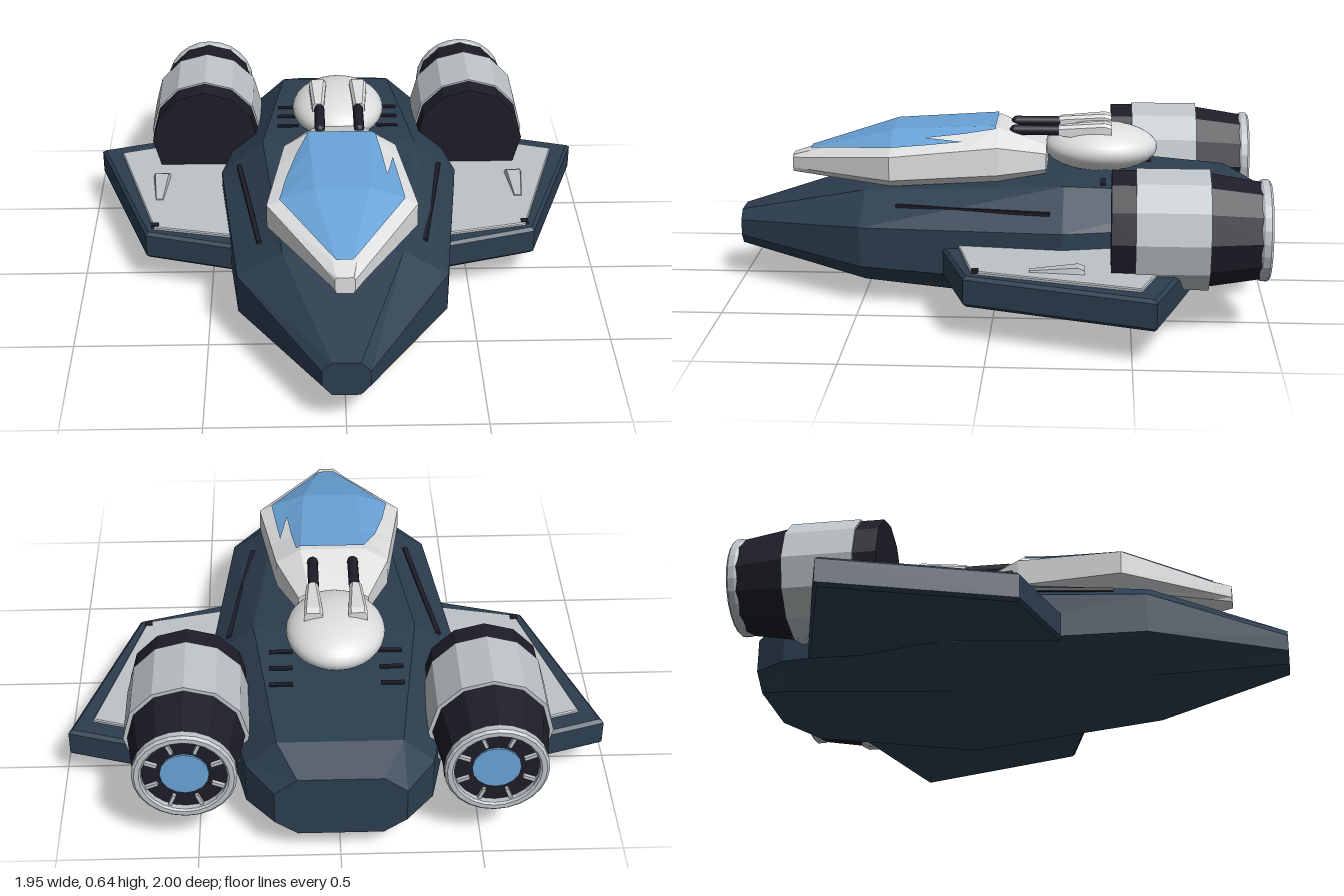
import * as THREE from 'three';

const mat = (name, color) => Object.assign(new THREE.MeshStandardMaterial({ color }), { name });

// Facets a geometry so that every side is flat
function flat(geo) {
  const g = geo.index ? geo.toNonIndexed() : geo;
  g.computeVertexNormals();
  return g;
}

// Builds a closed shell from rings (counterclockwise seen from the front) listed front to back
function loft(rings) {
  const pos = [];
  const tri = (...pts) => pts.forEach((p) => pos.push(...p));
  const n = rings[0].length;
  for (let i = 0; i < rings.length - 1; i++) {
    for (let j = 0; j < n; j++) {
      const k = (j + 1) % n;
      const a = rings[i][j], b = rings[i][k], c = rings[i + 1][k], d = rings[i + 1][j];
      tri(a, d, c);
      tri(a, c, b);
    }
  }
  const front = rings[0], back = rings[rings.length - 1];
  for (let j = 1; j < n - 1; j++) {
    tri(front[0], front[j], front[j + 1]);
    tri(back[0], back[j + 1], back[j]);
  }
  const g = new THREE.BufferGeometry();
  g.setAttribute('position', new THREE.Float32BufferAttribute(pos, 3));
  return flat(g);
}

// Eight-sided section: bottom, lower side, upper side (shoulder) and top
const octagon = ([z, wb, yb, w, yl, yu, wt, yt]) => [
  [-wb, yb, z], [wb, yb, z], [w, yl, z], [w, yu, z],
  [wt, yt, z], [-wt, yt, z], [-w, yu, z], [-w, yl, z],
];

// Interpolates between sections at a given z
function sectionAt(sections, z) {
  let i = 0;
  while (i < sections.length - 2 && z < sections[i + 1][0]) i++;
  const a = sections[i], b = sections[i + 1];
  const t = (z - a[0]) / (b[0] - a[0]);
  return a.map((v, k) => v + (b[k] - v) * t);
}

// Horizontal bevelled plate from an x/z outline
function plate(outline, side, y, height, bevel) {
  const shape = new THREE.Shape(outline.map(([x, z]) => new THREE.Vector2(x * side, -z)));
  const g = new THREE.ExtrudeGeometry(shape, {
    depth: height - 2 * bevel, bevelEnabled: true, bevelSegments: 1,
    bevelSize: bevel, bevelThickness: bevel, bevelOffset: -bevel,
  });
  return flat(g.rotateX(-Math.PI / 2).translate(0, y + bevel, 0));
}

export function createModel() {
  const model = new THREE.Group();
  const navy = mat('navy hull', 0x2c3e50);
  const grey = mat('light grey panel', 0xbdc3c7);
  const white = mat('off-white shell', 0xdcdedf);
  const dark = mat('dark metal', 0x1e1d28);
  const blue = mat('blue glass', 0x69a3d8);
  blue.side = THREE.DoubleSide;

  const add = (name, geo, material, parent = model) => {
    const m = new THREE.Mesh(geo, material);
    m.name = name;
    parent.add(m);
    return m;
  };

  // Main hull
  const hull = [
    [1, .05, .135, .085, .175, .235, .05, .27],
    [.5, .22, .05, .385, .15, .30, .22, .40],
    [-.25, .30, 0, .465, .12, .31, .30, .445],
    [-.87, .24, .065, .33, .15, .31, .22, .41],
    [-1, .15, .105, .23, .16, .29, .15, .35],
  ];
  add('hull', loft(hull.map(octagon)), navy);

  // Cockpit shell
  const cockpit = [
    [.8, .03, .42, .035, .435, .475, .03, .485],
    [.4, .20, .41, .275, .45, .54, .10, .60],
    [0, .18, .43, .212, .46, .565, .12, .622],
    [-.18, .11, .445, .13, .465, .525, .09, .55],
  ];
  const shellRows = [.8, .73, .4, .27, .13, .01, 0, -.18];
  add('cockpitShell', loft(shellRows.map((z) => octagon(sectionAt(cockpit, z)))), white);

  // Canopy glass draped just above the shell, with a jagged notch on the left edge
  const onShell = (x, z) => {
    const [, , , w, , yu, wt, yt] = sectionAt(cockpit, z);
    const t = Math.max(0, (Math.abs(x) - wt) / (w - wt));
    return [x, yt + (yu - yt) * t + 0.009, z];
  };
  const glassRow = ([z, xr, xl]) => {
    const wt = sectionAt(cockpit, z)[6];
    return [-xr, -Math.min(wt, xr), Math.min(wt, xl), xl].map((x) => onShell(x, z));
  };
  const strips = [
    [[.73, .03, .03], [.4, .228, .228]],
    [[.4, .228, .228], [.27, .205, .213]],
    [[.27, .205, .168], [.13, .168, .153]],
    [[.13, .168, .153], [.01, .12, .135]],
  ];
  const glass = [];
  strips.forEach(([f, b]) => {
    const p = glassRow(f), q = glassRow(b);
    for (let j = 0; j < 3; j++) {
      [p[j], p[j + 1], q[j + 1], p[j], q[j + 1], q[j]].forEach((v) => glass.push(...v));
    }
  });
  [[.168, .27], [.213, .27], [.195, .13]].forEach(([x, z]) => glass.push(...onShell(x, z)));
  const canopy = new THREE.BufferGeometry();
  canopy.setAttribute('position', new THREE.Float32BufferAttribute(glass, 3));
  add('canopyGlass', flat(canopy), blue);

  // Gun turret dome
  add('turretDome', new THREE.SphereGeometry(1, 32, 20).scale(.18, .09, .215).translate(0, .53, -.385), white);

  for (const side of [1, -1]) {
    const label = side > 0 ? 'left' : 'right';

    // Turret guns
    const housing = [[-.225, .022, .59, .626], [-.40, .034, .57, .64], [-.425, .034, .57, .632]].map(([z, w, y0, y1]) =>
      [[-w, y0], [w, y0], [w, y1 - .012], [w - .01, y1], [-w + .01, y1], [-w, y1 - .012]]
        .map(([x, y]) => [x + side * .08, y, z]));
    add(label + 'GunHousing', loft(housing), white);
    const barrel = add(label + 'GunBarrel', new THREE.CapsuleGeometry(.02, .16, 4, 12).rotateX(Math.PI / 2), dark);
    barrel.position.set(side * .075, .605, -.14);

    // Wing, its panel, fairing and tip slot
    add(label + 'Wing', plate([[.38, .2], [.75, .09], [.975, -.58], [.75, -.65], [.38, -.76]], side, .125, .113, .012), navy);
    add(label + 'WingPanel', plate([[.38, .14], [.72, .065], [.888, -.53], [.72, -.583], [.38, -.68]], side, .232, .018, .004), grey);
    const fairing = [[-.14, .016, .255], [-.31, .034, .272], [-.335, .036, .262]].map(([z, w, y]) =>
      [[-w, .245], [w, .245], [w * .8, y], [-w * .8, y]].map(([x, h]) => [x + side * .71, h, z]));
    add(label + 'WingFairing', loft(fairing), grey);
    add(label + 'WingSlot', new THREE.BoxGeometry(.028, .012, .025).translate(side * .715, .248, .05), dark);

    // Long groove on the hull shoulder
    const groove = add(label + 'HullGroove', new THREE.BoxGeometry(.018, .012, .58), dark);
    groove.position.set(side * .35, .365, .085);
    groove.lookAt(side * .306, .365, .37);

    // Vents on the rear deck
    for (const z of [-.395, -.485, -.573]) {
      const y = sectionAt(hull, z)[7];
      add(label + 'DeckVent', new THREE.BoxGeometry(.085, .012, .018).translate(side * .2, y, z), dark);
    }

    // Engine pod
    const pod = new THREE.Group();
    pod.name = label + 'Engine';
    pod.position.set(side * .535, .36, 0);
    model.add(pod);
    const drum = (name, rFront, rBack, zFront, zBack, material, sides = 12) =>
      add(name, flat(new THREE.CylinderGeometry(rFront, rBack, zFront - zBack, sides)
        .rotateX(Math.PI / 2).translate(0, 0, (zFront + zBack) / 2)), material, pod);
    drum('engineIntake', .214, .214, -.425, -.52, dark);
    drum('engineBand', .221, .221, -.51, -.77, grey);
    drum('engineNozzle', .208, .176, -.76, -.96, dark);
    drum('engineGlow', .085, .085, -.95, -.967, blue, 16);
    const rim = [[.148, -.945], [.148, -.98], [.155, -.986], [.172, -.986], [.181, -.978], [.181, -.955], [.174, -.945], [.148, -.945]];
    add('engineRim', flat(new THREE.LatheGeometry(rim.map(([r, y]) => new THREE.Vector2(r, y)), 24).rotateX(Math.PI / 2)), grey, pod);
    for (let i = 0; i < 8; i++) {
      const vane = new THREE.BoxGeometry(.045, .012, .016).translate(.123, 0, -.966).rotateZ((i + .5) * Math.PI / 4);
      add('engineVane', vane, grey, pod);
    }
  }
  return model;
}
